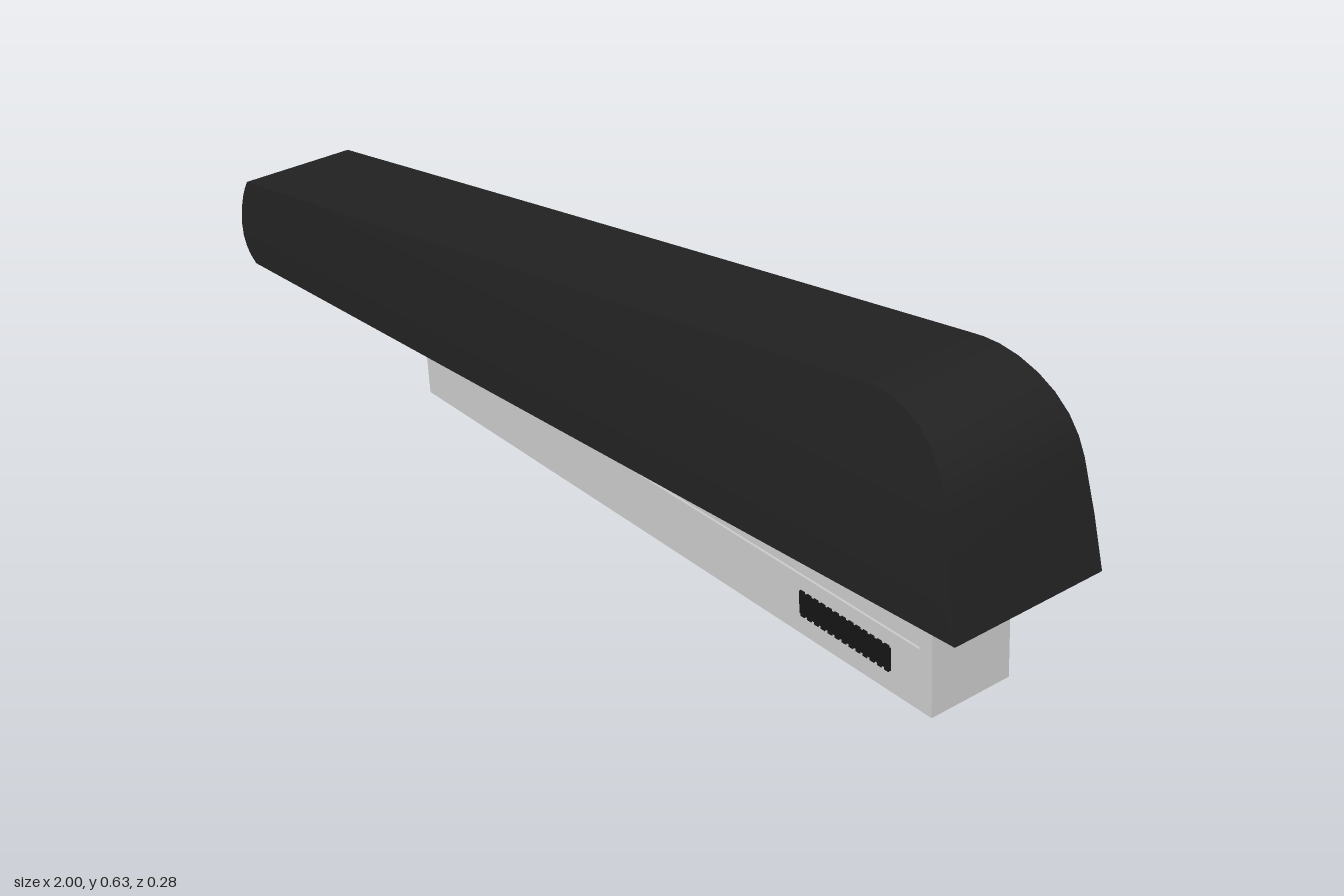
import * as THREE from 'three';
import { toCreasedNormals } from 'three/addons/utils/BufferGeometryUtils.js';

const black = new THREE.MeshStandardMaterial({ color: 0x222222 });
const gripBlack = new THREE.MeshStandardMaterial({ color: 0x151515 });
const grey = new THREE.MeshStandardMaterial({ color: 0xcccccc });

function add(parent, name, geometry, material, x = 0, y = 0, z = 0) {
  const mesh = new THREE.Mesh(geometry, material);
  mesh.name = name;
  mesh.position.set(x, y, z);
  parent.add(mesh);
  return mesh;
}

const bottomY = (x) => 0.035 + 0.159 * (x + 0.95);

// Half width: wider towards the tall end, curving inward with height
function halfWidth(x, y) {
  const rise = Math.max(0, y - bottomY(x));
  return 0.125 + 0.0087 * (x + 0.95) - 0.34 * rise * rise;
}

// Handle lofted through stations of [bottomX, bottomY, topX, topY]
function handleGeometry() {
  const stations = [
    [-1, 0.12, -1, 0.12], [-1, 0.1, -0.999, 0.14], [-0.995, 0.078, -0.994, 0.165],
    [-0.985, 0.06, -0.987, 0.185], [-0.971, 0.046, -0.98, 0.2], [-0.95, 0.035, -0.95, 0.207],
  ];
  const straight = 10;
  for (let i = 1; i <= straight; i++) {
    const x = -0.95 + (1.69 * i) / straight;
    stations.push([x, bottomY(x), x, 0.207 + (0.417 * i) / straight]);
  }
  const nose = [[0.77, 0.631], [0.8, 0.634], [0.835, 0.631], [0.87, 0.62], [0.9, 0.602],
    [0.925, 0.577], [0.942, 0.548], [0.953, 0.517], [0.976, 0.43]];
  for (const [x, y] of nose) stations.push([x, bottomY(x), x, y]);
  stations.push([1, 0.345, 1, 0.345]);

  const rows = 8, ring = 2 * (rows + 1), pos = [], index = [];
  for (const [bx, by, tx, ty] of stations) {
    for (let k = 0; k < ring; k++) {
      const front = k <= rows;
      const t = (front ? k : ring - 1 - k) / rows;
      const x = bx + (tx - bx) * t, y = by + (ty - by) * t;
      pos.push(x, y, halfWidth(x, y) * (front ? 1 : -1));
    }
  }
  for (let s = 0; s < stations.length - 1; s++) {
    for (let k = 0; k < ring; k++) {
      const a = s * ring + k, b = s * ring + ((k + 1) % ring);
      index.push(a, a + ring, b, b, a + ring, b + ring);
    }
  }
  const g = new THREE.BufferGeometry();
  g.setAttribute('position', new THREE.Float32BufferAttribute(pos, 3));
  g.setIndex(index);
  return toCreasedNormals(g, 0.6);
}

function rectangle(Type, x0, y0, x1, y1) {
  return new Type([[x0, y0], [x1, y0], [x1, y1], [x0, y1]].map(([x, y]) => new THREE.Vector2(x, y)));
}

export function createModel() {
  const model = new THREE.Group();
  model.name = 'stapler';
  add(model, 'handle', handleGeometry(), black);

  // Staple channel, open underneath, built along its own sloping axis
  const channel = new THREE.Group();
  channel.name = 'stapleChannel';
  channel.position.set(-0.4, 0, 0);
  channel.rotation.z = Math.atan2(0.127, 1.31);
  model.add(channel);
  const length = 1.316, height = 0.205, half = 0.077, wall = 0.008;

  // Side walls with a shallow groove
  const sideShape = rectangle(THREE.Shape, 0, 0, length, height);
  sideShape.holes.push(rectangle(THREE.Path, 0.105, 0.105, 1.29, 0.135));
  const sideGeometry = new THREE.ExtrudeGeometry(sideShape, { depth: wall, bevelEnabled: false });
  for (const side of [1, -1]) {
    add(channel, 'channelSide', sideGeometry, grey, 0, 0, side > 0 ? half - wall : -half);
    add(channel, 'grooveFloor', new THREE.BoxGeometry(1.2, 0.04, 0.004), grey, 0.697, 0.12, side * (half - 0.006));
  }

  // End walls and inner roof
  const inner = 2 * (half - wall);
  for (const x of [wall / 2, length - wall / 2]) {
    add(channel, 'channelEnd', new THREE.BoxGeometry(wall, height, inner), grey, x, height / 2, 0);
  }
  add(channel, 'channelRoof', new THREE.BoxGeometry(length - 2 * wall, height - 0.075, inner), grey,
    length / 2, (height + 0.075) / 2, 0);

  // Ribbed slider grips and the blocks behind them
  const ribs = 13, gripLength = 0.2;
  for (const side of [1, -1]) {
    const grip = new THREE.Group();
    grip.name = 'sliderGrip';
    grip.position.set(1.131, 0.0565, side * half);
    channel.add(grip);
    add(grip, 'gripBase', new THREE.BoxGeometry(gripLength, 0.04, 0.002), gripBlack);
    for (let i = 0; i < ribs; i++) {
      const x = -gripLength / 2 + ((i + 0.5) * gripLength) / ribs;
      add(grip, 'gripRib', new THREE.BoxGeometry(0.009, 0.046, 0.004), gripBlack, x);
    }
    add(channel, 'sliderBlock', new THREE.BoxGeometry(gripLength, 0.07, 0.029), gripBlack, 1.131, 0.04, side * 0.0545);
  }
  return model;
}
